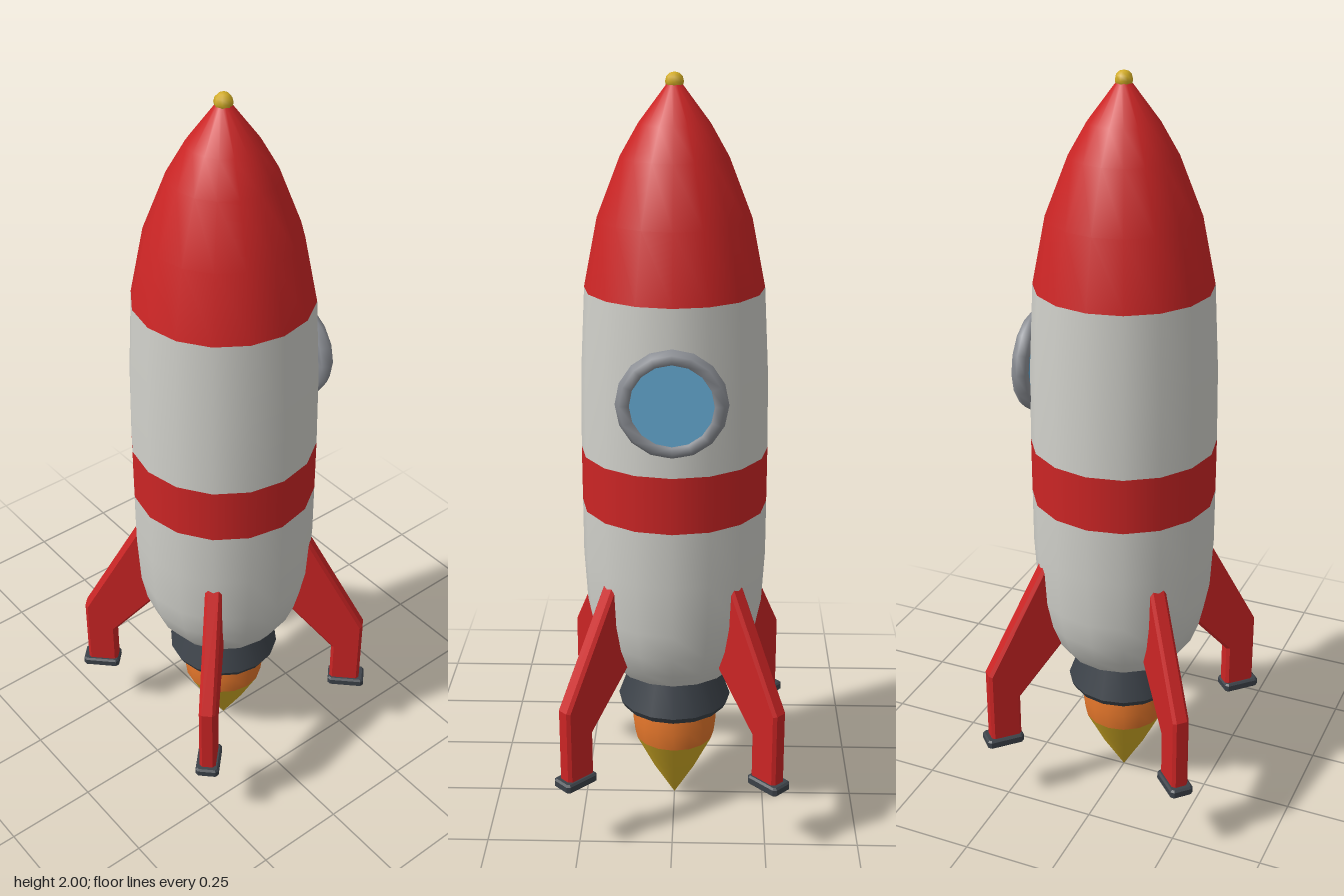
import * as THREE from 'three';
import { mergeGeometries } from 'three/addons/utils/BufferGeometryUtils.js';

const material = (name, color) => {
  const m = new THREE.MeshStandardMaterial({ color });
  m.name = name;
  return m;
};

// Turned part; each profile runs bottom to top and meets the next at a sharp edge
const turned = (sides, ...profiles) => mergeGeometries(profiles.map((p) =>
  new THREE.LatheGeometry(p.map(([r, y]) => new THREE.Vector2(r, y)), sides)));

// Flat outline extruded to a full thickness, with a small bevel kept inside the outline
function plate(points, thickness, bevel) {
  const shape = new THREE.Shape(points.map(([x, y]) => new THREE.Vector2(x, y)));
  const depth = thickness - 2 * bevel;
  const g = new THREE.ExtrudeGeometry(shape, {
    depth, bevelEnabled: true, bevelThickness: bevel, bevelSize: bevel,
    bevelOffset: -bevel, bevelSegments: 1,
  });
  return g.translate(0, 0, -depth / 2);
}

export function createModel() {
  const rocket = new THREE.Group();
  rocket.name = 'rocket';
  const red = material('red paint', 0xcc2525);
  const white = material('white paint', 0xd0d0ca);
  const dark = material('dark metal', 0x3c4249);
  const grey = material('grey metal', 0x8c8f95);
  const blue = material('blue glass', 0x66acd6);
  const orange = material('flame orange', 0xe0742a);
  const yellow = material('flame yellow', 0xd2ac26);

  const add = (name, geometry, mat, parent = rocket) => {
    const mesh = new THREE.Mesh(geometry, mat);
    mesh.name = name;
    parent.add(mesh);
    return mesh;
  };

  // Hull, in bands from the bottom up
  add('lowerHull', turned(16,
    [[0, 0.43], [0.165, 0.43]],
    [[0.165, 0.43], [0.197, 0.475], [0.22, 0.535], [0.235, 0.61], [0.243, 0.75], [0.243, 0.9]]), white);
  add('hullStripe', turned(16, [[0.243, 0.9], [0.243, 1.05]]), red);
  add('upperHull', turned(16, [[0.243, 1.05], [0.24, 1.25], [0.228, 1.475]]), white);
  add('noseCone', turned(16,
    [[0.228, 1.475], [0.193, 1.65], [0.134, 1.8], [0.088, 1.88], [0.02, 1.97], [0, 1.978]]), red);
  add('noseTip', new THREE.SphereGeometry(0.023, 8, 6).translate(0, 1.977, 0), yellow);

  // Engine nozzle and flame
  add('nozzle', turned(16,
    [[0, 0.305], [0.145, 0.305]],
    [[0.145, 0.305], [0.154, 0.322]],
    [[0.154, 0.322], [0.113, 0.435]]), dark);
  add('innerFlame', turned(16, [[0.11, 0.2], [0.116, 0.25], [0.105, 0.306]]), orange);
  add('outerFlame', turned(16, [[0, 0], [0.06, 0.1], [0.11, 0.2]]), yellow);

  // Porthole on the model's left side
  const porthole = new THREE.Group();
  porthole.name = 'porthole';
  porthole.position.set(0.238, 1.24, 0);
  porthole.rotation.y = Math.PI / 2;
  rocket.add(porthole);
  add('portholeRim', new THREE.TorusGeometry(0.117, 0.022, 6, 16), grey, porthole);
  add('portholeGlass', new THREE.CylinderGeometry(0.107, 0.107, 0.03, 16)
    .rotateX(Math.PI / 2), blue, porthole);

  // Four diagonal fins with feet
  const finShape = plate([
    [0.14, 0.53], [0.314, 0.33], [0.314, 0.2], [0.4, 0.2],
    [0.4, 0.415], [0.23, 0.735], [0.215, 0.745], [0.14, 0.73],
  ], 0.045, 0.008);
  const footShape = plate([
    [0.31, -0.024], [0.318, -0.032], [0.406, -0.032], [0.414, -0.024],
    [0.414, 0.024], [0.406, 0.032], [0.318, 0.032], [0.31, 0.024],
  ], 0.026, 0.005).rotateX(-Math.PI / 2).translate(0, 0.198, 0);
  for (let i = 0; i < 4; i++) {
    const leg = new THREE.Group();
    leg.name = `finLeg${i + 1}`;
    leg.rotation.y = Math.PI / 4 + i * Math.PI / 2;
    add('fin', finShape, red, leg);
    add('foot', footShape, dark, leg);
    rocket.add(leg);
  }
  return rocket;
}
